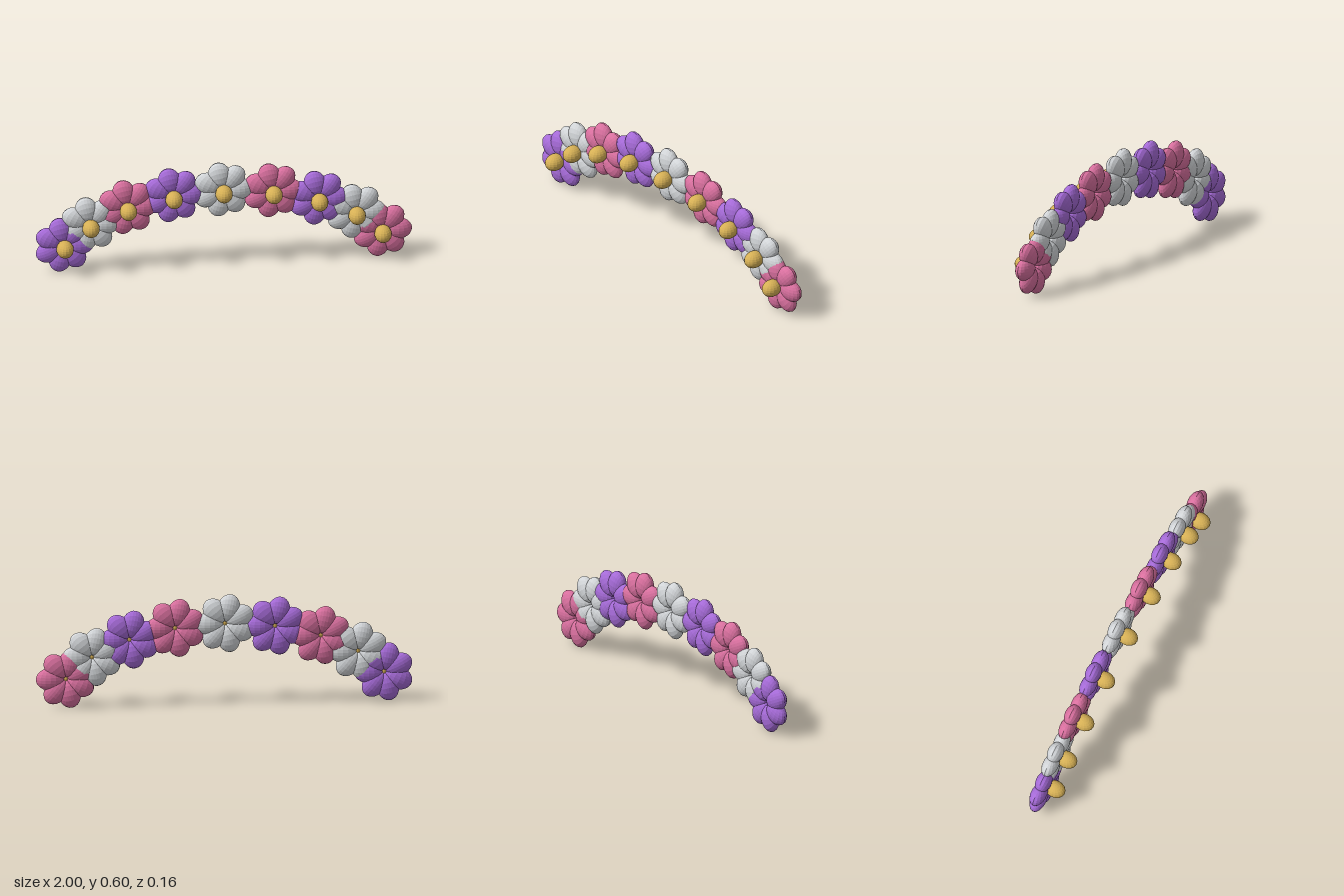
import * as THREE from 'three';

// Faceted unit sphere, stretched into an ellipsoid
function ellipsoid(rx, ry, rz) {
  const g = new THREE.SphereGeometry(1, 16, 12).scale(rx, ry, rz).toNonIndexed();
  g.computeVertexNormals();
  return g;
}

function mat(name, color) {
  const m = new THREE.MeshStandardMaterial({ color });
  m.name = name;
  return m;
}

export function createModel() {
  const garland = new THREE.Group();
  garland.name = 'flowerGarland';

  const petalColours = [mat('purple', 0xa66bd8), mat('white', 0xd2d5d8), mat('pink', 0xd9709f)];
  const gold = mat('gold', 0xd6b055);

  const petalGeo = ellipsoid(0.075, 0.06, 0.042);
  const centreGeo = ellipsoid(0.046, 0.046, 0.057);

  const FLOWERS = 9, PETALS = 7, RADIUS = 0.915;
  const span = Math.PI * 0.75;

  for (let i = 0; i < FLOWERS; i++) {
    // Flowers follow a flattened arch, left to right
    const t = (i / (FLOWERS - 1) - 0.5) * span;
    const flower = new THREE.Group();
    flower.name = `flower${i + 1}`;
    flower.position.set(-0.006 + RADIUS * Math.sin(t), 0.438 - (RADIUS / 2) * (1 - Math.cos(t)), 0);

    // Ring of petals
    for (let p = 0; p < PETALS; p++) {
      const a = (p / PETALS) * Math.PI * 2;
      const petal = new THREE.Mesh(petalGeo, petalColours[i % 3]);
      petal.name = `petal${p + 1}`;
      petal.position.set(0.085 * Math.cos(a), 0.085 * Math.sin(a), -0.036);
      petal.rotation.z = a;
      flower.add(petal);
    }

    // Domed golden centre
    const centre = new THREE.Mesh(centreGeo, gold);
    centre.name = 'flowerCentre';
    centre.position.z = 0.022;
    flower.add(centre);

    garland.add(flower);
  }
  return garland;
}
